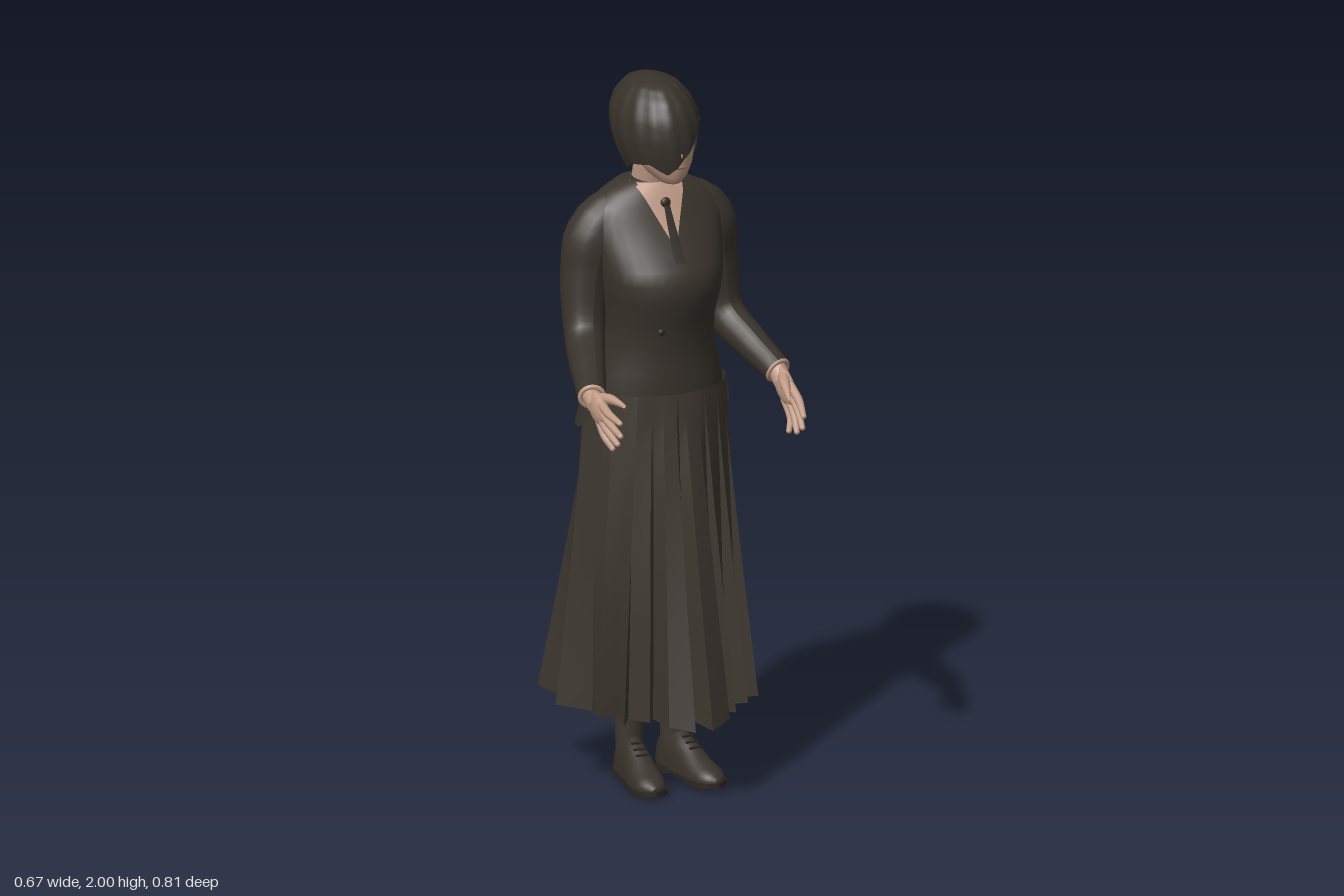
import * as THREE from 'three';
import { toCreasedNormals } from 'three/addons/utils/BufferGeometryUtils.js';

const material = (name, color) =>
  Object.assign(new THREE.MeshStandardMaterial({ color, side: THREE.DoubleSide }), { name });
const M = {
  jacket: material('jacket cloth', 0x39332c),
  skirt: material('skirt cloth', 0x3e3730),
  hair: material('dark hair', 0x37312a),
  skin: material('skin', 0xc09a86),
  leather: material('shoe leather', 0x39322c),
  sole: material('shoe sole', 0x2c2721),
  stocking: material('stocking', 0x3d362f),
  tie: material('dark tie', 0x2f2a25),
  lips: material('lips', 0x9c7062),
};
const V = (p) => new THREE.Vector3(...p);

function add(parent, name, geometry, mat, position = [0, 0, 0]) {
  const mesh = new THREE.Mesh(geometry, mat);
  mesh.name = name;
  mesh.position.set(...position);
  parent.add(mesh);
  return mesh;
}

// Linear lookup in a table whose first column is the key
function lookup(table, key) {
  let i = 1;
  while (i < table.length - 1 && table[i][0] < key) i++;
  const a = table[i - 1], b = table[i];
  const t = THREE.MathUtils.clamp((key - a[0]) / (b[0] - a[0]), 0, 1);
  return a.map((v, k) => v + (b[k] - v) * t);
}

// Skin between rows of points
function loft(rows, closed = true, crease = 0) {
  const n = rows[0].length, index = [];
  for (let i = 0; i < rows.length - 1; i++) {
    for (let j = 0; j < (closed ? n : n - 1); j++) {
      const k = (j + 1) % n, a = i * n, b = a + n;
      index.push(a + j, a + k, b + k, a + j, b + k, b + j);
    }
  }
  const g = new THREE.BufferGeometry();
  g.setAttribute('position', new THREE.Float32BufferAttribute(rows.flat(2), 3));
  g.setIndex(index);
  g.computeVertexNormals();
  return crease ? toCreasedNormals(g, crease) : g;
}

// Point at an angle on a section [y, centre x, half width, front z, back z]
const onOval = ([y, cx, rx, zf, zb], a) =>
  [cx + rx * Math.sin(a), y, (zf + zb) / 2 + (zf - zb) / 2 * Math.cos(a)];
const oval = (section, n = 36) => Array.from({ length: n }, (_, j) => onOval(section, j / n * Math.PI * 2));

// Tapered tube through points
function limb(points, radii, sides = 18) {
  const curve = new THREE.CatmullRomCurve3(points.map(V)), n = 24;
  const g = new THREE.TubeGeometry(curve, n, 1, sides);
  const p = g.attributes.position, v = new THREE.Vector3();
  const table = radii.map((r, i) => [i / (radii.length - 1), r]);
  for (let i = 0; i < p.count; i++) {
    const t = Math.floor(i / (sides + 1)) / n, c = curve.getPointAt(t);
    v.fromBufferAttribute(p, i).sub(c).multiplyScalar(lookup(table, t)[1]).add(c);
    p.setXYZ(i, v.x, v.y, v.z);
  }
  g.computeVertexNormals();
  return g;
}

function ball(parent, name, mat, position, scale) {
  const mesh = add(parent, name, new THREE.SphereGeometry(1, 20, 14), mat, position);
  mesh.scale.set(...scale);
  return mesh;
}

// Jacket sections: y, centre x, half width, front z, back z
const TORSO = [
  [1.07, 0.012, 0.188, 0.098, -0.2], [1.13, 0.012, 0.19, 0.1, -0.206], [1.19, 0.014, 0.175, 0.097, -0.195],
  [1.26, 0.014, 0.157, 0.096, -0.183], [1.33, 0.014, 0.155, 0.112, -0.178],
  [1.39, 0.014, 0.165, 0.131, -0.176], [1.44, 0.014, 0.172, 0.136, -0.176],
  [1.48, 0.014, 0.178, 0.118, -0.177], [1.54, 0.014, 0.19, 0.072, -0.178],
  [1.6, 0.014, 0.2, 0.035, -0.178], [1.635, 0.014, 0.185, 0.016, -0.174],
  [1.668, 0.014, 0.145, 0, -0.166], [1.692, 0.012, 0.095, -0.014, -0.155],
  [1.703, 0.01, 0.05, -0.025, -0.13],
];
// Back half of the jacket hanging over the skirt, with an uneven hem
function tail() {
  const sections = [[0.94, 0.012, 0.233, 0.145, -0.256], [1.13, 0.012, 0.202, 0.108, -0.212]], rows = [];
  for (let i = 0; i <= 8; i++) {
    rows.push(Array.from({ length: 41 }, (_, j) => {
      const u = j / 40, a = Math.PI * (0.45 + 1.1 * u);
      const hemY = 1.06 - 0.08 * Math.pow(Math.sin(Math.PI * u), 0.5) + 0.006 * Math.sin(j * 1.3);
      return onOval(lookup(sections, hemY + (1.135 - hemY) * i / 8), a);
    }));
  }
  return loft(rows, false);
}
// Thin panel lying on the jacket front
function panel(parent, name, mat, y0, y1, left, right, lift) {
  const rows = [];
  for (let i = 0; i <= 14; i++) {
    const t = i / 14, y = y0 + (y1 - y0) * t, [, cx, rx, zf, zb] = lookup(TORSO, y), row = [];
    for (let j = 0; j <= 8; j++) {
      const x = cx + left(t) + (right(t) - left(t)) * j / 8, u = (x - cx) / rx;
      row.push([x, y, (zf + zb) / 2 + (zf - zb) / 2 * Math.sqrt(Math.max(0, 1 - u * u)) + lift]);
    }
    rows.push(row);
  }
  add(parent, name, loft(rows, false), mat);
}

// Pleat corners around the hem (x, z), from the front towards +x
const HEM = [
  [0.005, 0.13], [0.035, 0.265], [0.105, 0.225], [0.1, 0.12], [0.14, 0.19], [0.155, 0.09],
  [0.2, 0.14], [0.21, 0.06], [0.25, 0.1], [0.235, 0], [0.32, -0.07], [0.24, -0.11],
  [0.325, -0.175], [0.23, -0.2], [0.16, -0.22], [0.115, -0.37], [0.06, -0.27], [0, -0.4],
  [-0.03, -0.26], [-0.06, -0.367], [-0.09, -0.367], [-0.1, -0.25], [-0.14, -0.325], [-0.15, -0.21],
  [-0.22, -0.3], [-0.2, -0.14], [-0.273, -0.075], [-0.2, 0], [-0.23, 0.08], [-0.16, 0.08],
  [-0.19, 0.18], [-0.14, 0.1], [-0.11, 0.175], [-0.075, 0.12], [-0.077, 0.225], [-0.015, 0.262],
];
// Skirt whose pleats deepen towards the hem
function skirt() {
  const rows = [], n = HEM.length;
  for (let i = 0; i <= 12; i++) {
    const t = 1 - i / 12;
    rows.push(HEM.map(([x, z], j) => {
      const a = Math.atan2((x - 0.012) / 0.2, (z + 0.05) / 0.157);
      const hemY = 0.207 + 0.01 * Math.cos(a) + 0.022 * Math.abs(Math.sin(a)) + (j % 2 ? 0 : 0.01);
      const [wx, , wz] = onOval([0, 0.012, 0.2, 0.107, -0.207], a);
      const p = HEM[(j + n - 1) % n], q = HEM[(j + 1) % n];
      const mx = (p[0] + q[0] + 2 * x) / 4, mz = (p[1] + q[1] + 2 * z) / 4, fold = Math.pow(t, 1.4);
      return [wx + (mx - wx) * t + (x - mx) * fold, 1.13 + (hemY - 1.13) * t, wz + (mz - wz) * t + (z - mz) * fold];
    }));
  }
  return loft(rows, true, 0.45);
}

// Hair sections: y, centre x, half width, front z, back z; hem height by angle from the front
const HAIR = [
  [1.72, 0.004, 0.072, 0.096, -0.1], [1.75, 0.004, 0.09, 0.11, -0.125], [1.8, 0.004, 0.108, 0.117, -0.157],
  [1.85, 0.004, 0.117, 0.117, -0.178], [1.9, 0.004, 0.113, 0.108, -0.19], [1.945, 0.004, 0.094, 0.083, -0.176],
  [1.98, 0.004, 0.062, 0.038, -0.14], [2, 0.004, 0, -0.05, -0.05],
];
const FRINGE = [
  [-180, 1.735], [-120, 1.74], [-95, 1.75], [-75, 1.772], [-45, 1.782], [-17, 1.752], [0, 1.775], [20, 1.815],
  [45, 1.868], [58, 1.89], [72, 1.86], [80, 1.74], [100, 1.735], [180, 1.735],
];
function hair() {
  const rows = [], n = 80, steps = 18;
  for (let i = 0; i <= steps; i++) {
    rows.push(Array.from({ length: n }, (_, j) => {
      const deg = -180 + 360 * j / n, a = THREE.MathUtils.degToRad(deg), low = lookup(FRINGE, deg)[1];
      const y = low + (2 - low) * Math.sin(i / steps * Math.PI / 2);
      const [, cx, rx, zf, zb] = lookup(HAIR, y), k = 0.006 * (zf - zb) * Math.sin(a * 15 + y * 12);
      return onOval([y, cx, rx + k, zf + k, zb - k], a);
    }));
  }
  return loft(rows);
}

// Hand pointing along its own z, thumb towards the body
function hand(parent, name, wrist, target) {
  const g = new THREE.Group(), inner = -Math.sign(wrist[0]);
  g.name = name;
  ball(g, 'palm', M.skin, [0, 0, 0.055], [0.02, 0.04, 0.062]);
  add(g, 'wrist', limb([[0, 0, -0.04], [0, 0, 0], [0, 0, 0.04]], [0.027, 0.026, 0.026], 12), M.skin);
  [[-0.028, -0.06, 0.16], [-0.01, -0.024, 0.19], [0.01, 0.012, 0.203], [0.027, 0.043, 0.187]].forEach(([y, tipY, z]) => {
    const tip = [inner * 0.012, tipY, z];
    add(g, 'finger', limb([[0, y, 0.075], [0, (y + tipY) / 2, 0.13], tip], [0.013, 0.0115, 0.008], 10), M.skin);
    ball(g, 'fingertip', M.skin, tip, [0.008, 0.008, 0.008]);
  });
  add(g, 'thumb', limb([[0, 0.015, 0.03], [inner * 0.022, 0.042, 0.075], [inner * 0.04, 0.06, 0.135]], [0.017, 0.014, 0.006], 10), M.skin);
  g.position.set(...wrist);
  g.lookAt(...target);
  parent.add(g);
}

// Sleeve running out of the torso over the shoulder, with cuff and hand
function arm(parent, side, path, target) {
  add(parent, side + 'Sleeve', limb(path, [0.06, 0.077, 0.064, 0.055, 0.048, 0.039]), M.jacket);
  const wrist = path[5], end = V(wrist), dir = end.clone().sub(V(path[4])).normalize();
  const cuff = add(parent, side + 'Cuff', new THREE.TorusGeometry(0.032, 0.007, 8, 20), M.skin, wrist);
  cuff.lookAt(end.add(dir));
  hand(parent, side + 'Hand', wrist, target);
}

function leg(parent, side, x, turn) {
  const g = new THREE.Group();
  g.name = side + 'Leg';
  add(g, 'stocking', limb([[0, 0.08, -0.075], [0, 0.2, -0.08], [0, 0.4, -0.07], [0, 0.75, -0.05]], [0.037, 0.042, 0.055, 0.07]), M.stocking);
  // Shoe upper sections: z, half width, height
  const rows = [[-0.132, 0.012, 0.06], [-0.125, 0.028, 0.1], [-0.085, 0.039, 0.125], [-0.03, 0.041, 0.128],
    [0.015, 0.044, 0.105], [0.06, 0.048, 0.076], [0.105, 0.045, 0.062], [0.135, 0.032, 0.05], [0.148, 0.01, 0.035]]
    .map(([z, w, h]) => Array.from({ length: 17 }, (_, j) => {
      const a = Math.PI * j / 16;
      return [w * Math.cos(a), 0.022 + (h - 0.022) * Math.pow(Math.sin(a), 0.8), z];
    })).reverse();
  add(g, 'shoeUpper', loft(rows, false), M.leather);
  const outline = new THREE.Shape(new THREE.SplineCurve([[0, 0.152], [0.038, 0.13], [0.052, 0.07], [0.04, -0.02], [0.04, -0.1],
    [0, -0.138], [-0.04, -0.1], [-0.04, -0.02], [-0.052, 0.07], [-0.038, 0.13], [0, 0.152]].map(([a, b]) => new THREE.Vector2(a, -b))).getPoints(40));
  const sole = new THREE.ExtrudeGeometry(outline, { depth: 0.014, bevelEnabled: false }).rotateX(-Math.PI / 2);
  add(g, 'sole', sole, M.sole, [0, 0.012, 0]);
  add(g, 'heel', new THREE.CylinderGeometry(0.038, 0.036, 0.024, 20), M.sole, [0, 0.012, -0.092]);
  add(g, 'frontTread', new THREE.CylinderGeometry(0.045, 0.043, 0.014, 20), M.sole, [0, 0.007, 0.075]);
  for (let i = 0; i < 3; i++) add(g, 'shoelace', new THREE.BoxGeometry(0.035, 0.005, 0.006), M.sole, [0, 0.119 - i * 0.012, -0.006 + i * 0.018]);
  g.position.set(x, 0, 0);
  g.rotation.y = turn;
  parent.add(g);
}

export function createModel() {
  const model = new THREE.Group();
  model.name = 'woman in long skirt';

  // Clothes
  add(model, 'skirt', skirt(), M.skirt);
  add(model, 'jacket', loft(TORSO.map((s) => oval(s))), M.jacket);
  add(model, 'jacketTail', tail(), M.jacket);
  const vee = (t) => 0.072 * t;
  panel(model, 'neckline', M.skin, 1.53, 1.697, (t) => -vee(t), vee, 0.004);
  for (const s of [-1, 1]) {
    panel(model, 'lapel', M.jacket, 1.49, 1.69, (t) => s * vee(t), (t) => s * (vee(t) + 0.035 * Math.sin(Math.PI * Math.min(1, t + 0.12))), 0.006);
  }
  panel(model, 'tie', M.tie, 1.5, 1.65, (t) => -0.017 + 0.009 * t, (t) => 0.017 - 0.009 * t, 0.008);
  ball(model, 'tieKnot', M.tie, [0.013, 1.645, 0.014], [0.015, 0.016, 0.009]);
  ball(model, 'button', M.tie, [-0.04, 1.31, 0.101], [0.01, 0.01, 0.005]);

  // Arms and legs
  arm(model, 'left', [[0.095, 1.63, -0.085], [0.173, 1.577, -0.083], [0.212, 1.44, -0.1], [0.235, 1.285, -0.085], [0.268, 1.215, 0.02], [0.295, 1.165, 0.125]], [0.3, 1.06, 0.26]);
  arm(model, 'right', [[-0.07, 1.63, -0.085], [-0.145, 1.577, -0.083], [-0.184, 1.44, -0.08], [-0.206, 1.285, -0.035], [-0.255, 1.23, 0.09], [-0.3, 1.195, 0.208]], [-0.318, 1.135, 0.38]);
  leg(model, 'left', 0.09, 0.12);
  leg(model, 'right', -0.062, -0.12);

  // Head
  add(model, 'neck', limb([[0.01, 1.62, -0.09], [0.01, 1.7, -0.07], [0.008, 1.79, -0.045]], [0.06, 0.053, 0.052]), M.skin);
  const face = [[1.713, 0.012, 0.002, 0.066, 0.05], [1.718, 0.012, 0.026, 0.082, 0.01], [1.738, 0.012, 0.05, 0.094, -0.04],
    [1.77, 0.01, 0.073, 0.1, -0.08], [1.82, 0.006, 0.088, 0.103, -0.11], [1.87, 0.004, 0.092, 0.102, -0.14],
    [1.92, 0.004, 0.08, 0.08, -0.14], [1.95, 0.004, 0.05, 0.04, -0.1]];
  add(model, 'face', loft(face.map((s) => oval(s))), M.skin);
  ball(model, 'nose', M.skin, [0.012, 1.807, 0.102], [0.012, 0.02, 0.014]);
  ball(model, 'mouth', M.lips, [0.014, 1.768, 0.098], [0.02, 0.005, 0.004]);
  for (const s of [-1, 1]) {
    const eye = ball(model, 'eye', M.tie, [0.008 + s * 0.042, 1.838, 0.087], [0.014, 0.006, 0.004]);
    const brow = ball(model, 'eyebrow', M.hair, [0.008 + s * 0.044, 1.862, 0.087], [0.018, 0.003, 0.004]);
    eye.rotation.y = brow.rotation.y = s * 0.45;
  }
  add(model, 'hair', hair(), M.hair);
  return model;
}
